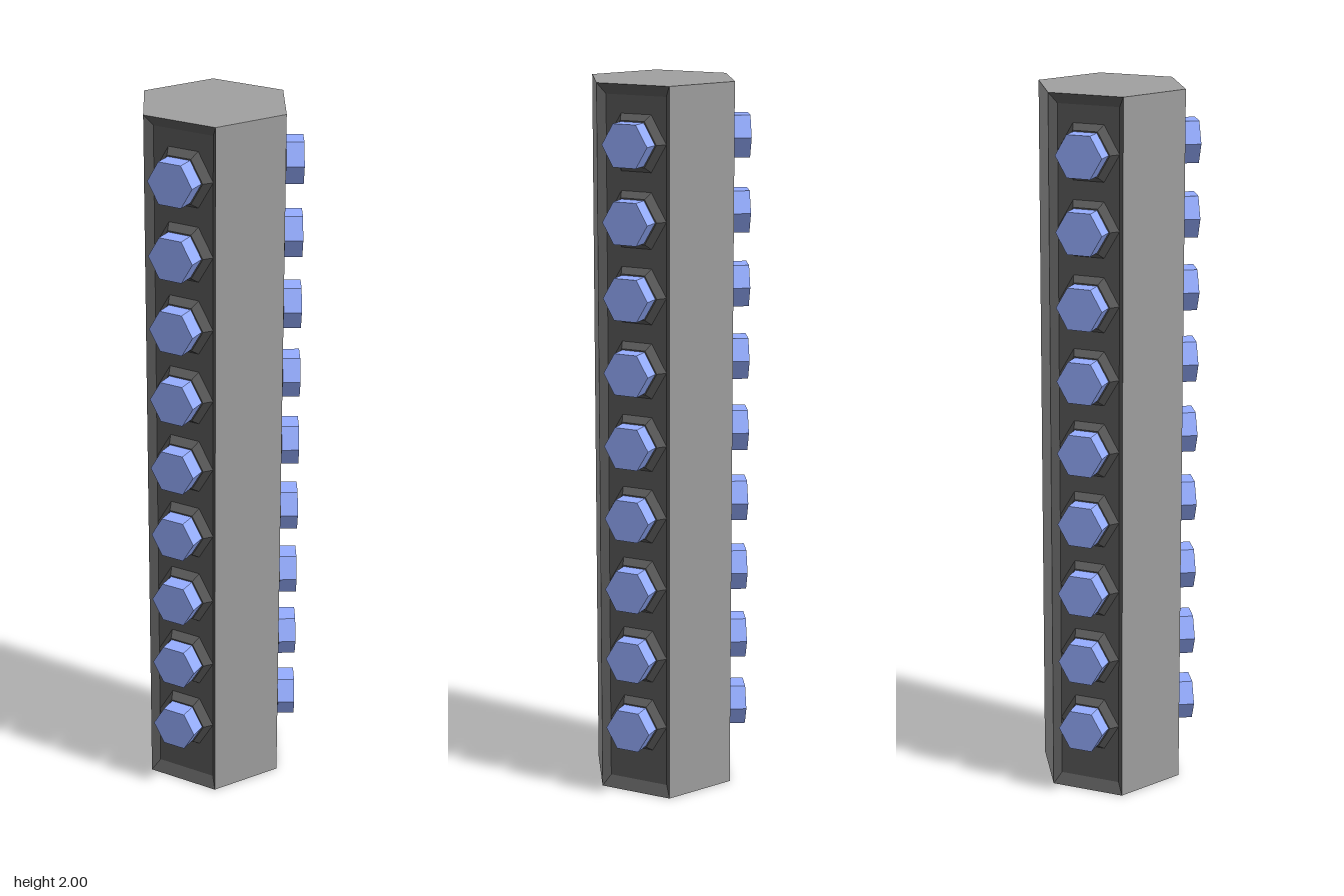
import * as THREE from 'three';

const R = 0.2115, APOTHEM = R * Math.sqrt(3) / 2, H = 2;
const INSET_X = 0.018, INSET_Y = 0.03, DEPTH = 0.02;
const BOLTS = 9, PITCH = 0.205;

const mat = (color) => new THREE.MeshStandardMaterial({ color, flatShading: true });

function mesh(name, geometry, material) {
  const m = new THREE.Mesh(geometry, material);
  m.name = name;
  return m;
}

// Tray with sloped walls, sunk behind the plane z = 0
function trayGeometry() {
  const ring = (w, h0, h1, z) => [[-w, h0, z], [w, h0, z], [w, h1, z], [-w, h1, z]];
  const outer = ring(R / 2, 0, H, 0);
  const inner = ring(R / 2 - INSET_X, INSET_Y, H - INSET_Y, -DEPTH);
  const pos = [];
  const quad = (a, b, c, d) => pos.push(...a, ...b, ...c, ...a, ...c, ...d);
  quad(...inner);
  for (let i = 0; i < 4; i++) {
    const j = (i + 1) % 4;
    quad(outer[i], outer[j], inner[j], inner[i]);
  }
  const g = new THREE.BufferGeometry();
  g.setAttribute('position', new THREE.Float32BufferAttribute(pos, 3));
  g.computeVertexNormals();
  return g;
}

// Hexagonal prism along z from z0 to z1, corners pointing sideways
function hexGeometry(rTop, rBase, z0, z1) {
  return new THREE.CylinderGeometry(rTop, rBase, z1 - z0, 6)
    .rotateY(Math.PI / 6)
    .rotateX(Math.PI / 2)
    .translate(0, 0, (z0 + z1) / 2);
}

export function createModel() {
  const model = new THREE.Group();
  model.name = 'boltedColumn';
  const body = mat(0xa0a0a0), dark = mat(0x585858), blue = mat(0x95adff);

  const column = new THREE.Group();
  column.position.set(-0.002, 0, 0.025);
  model.add(column);

  // End caps
  const cap = new THREE.CircleGeometry(R, 6);
  const top = mesh('topCap', cap.clone().rotateX(-Math.PI / 2), body);
  top.position.y = H;
  column.add(top, mesh('bottomCap', cap.clone().rotateX(Math.PI / 2), body));

  // Six sides, alternating plain and recessed with bolts
  const plain = new THREE.PlaneGeometry(R, H).translate(0, H / 2, 0);
  const tray = trayGeometry();
  const washer = hexGeometry(0.07, 0.088, -DEPTH, 0.003);
  const bolt = hexGeometry(0.066, 0.066, -DEPTH, 0.051);

  for (let s = 0; s < 6; s++) {
    const angle = s * Math.PI / 3;
    const side = new THREE.Group();
    side.rotation.y = angle;
    side.position.set(Math.sin(angle) * APOTHEM, 0, Math.cos(angle) * APOTHEM);
    column.add(side);
    if (s % 2 === 0) {
      side.name = 'plainSide';
      side.add(mesh('plainPanel', plain, body));
      continue;
    }
    side.name = 'boltedSide';
    side.add(mesh('recessedPanel', tray, dark));
    for (let i = 1; i <= BOLTS; i++) {
      const w = mesh('boltSeat', washer, dark);
      const b = mesh('hexBolt', bolt, blue);
      w.position.y = b.position.y = i * PITCH;
      side.add(w, b);
    }
  }
  return model;
}
